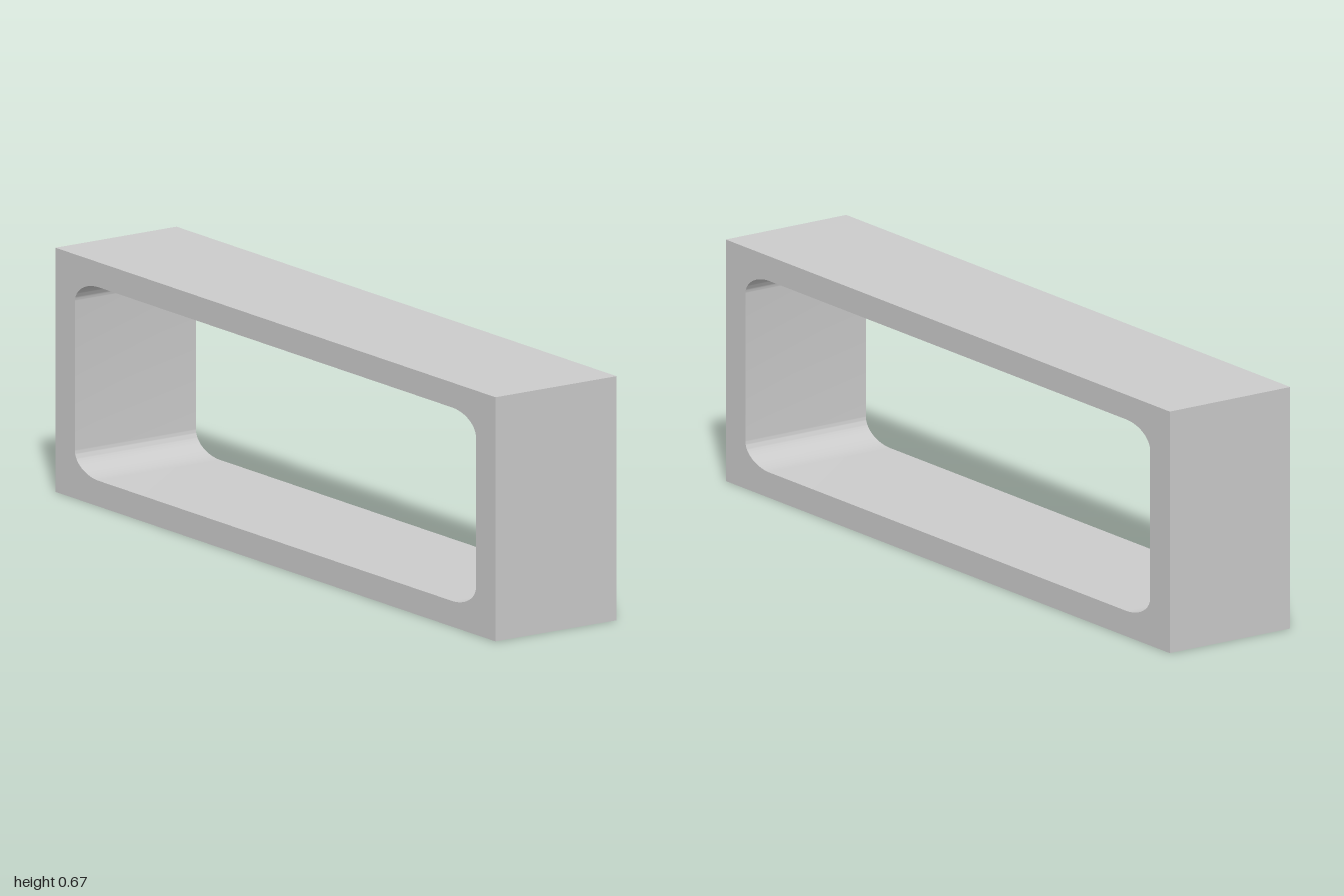
import * as THREE from 'three';
import { toCreasedNormals } from 'three/addons/utils/BufferGeometryUtils.js';

const WIDTH = 2, HEIGHT = 0.666, DEPTH = 0.394;

// Rectangular opening whose corners are quarter ellipses
function roundedOpening(left, right, bottom, top, rx, ry) {
  const path = new THREE.Path();
  const corners = [
    [right - rx, top - ry],
    [left + rx, top - ry],
    [left + rx, bottom + ry],
    [right - rx, bottom + ry],
  ];
  path.moveTo(right, top - ry);
  corners.forEach(([x, y], i) => {
    const start = i * Math.PI / 2;
    path.absellipse(x, y, rx, ry, start, start + Math.PI / 2, false, 0);
  });
  path.closePath();
  return path;
}

export function createModel() {
  const group = new THREE.Group();
  group.name = 'openFrame';

  // Sharp outer rectangle
  const outline = new THREE.Shape();
  outline.moveTo(-WIDTH / 2, 0);
  outline.lineTo(WIDTH / 2, 0);
  outline.lineTo(WIDTH / 2, HEIGHT);
  outline.lineTo(-WIDTH / 2, HEIGHT);
  outline.closePath();

  // Opening running through from front to back
  outline.holes.push(roundedOpening(-0.912, 0.912, 0.07, 0.598, 0.11, 0.062));

  const geometry = new THREE.ExtrudeGeometry(outline, {
    depth: DEPTH, bevelEnabled: false, curveSegments: 16,
  });
  geometry.translate(0, 0, -DEPTH / 2);

  const frame = new THREE.Mesh(
    toCreasedNormals(geometry, Math.PI / 6),
    new THREE.MeshStandardMaterial({ color: 0xcccccc }),
  );
  frame.name = 'frame';
  group.add(frame);
  return group;
}
